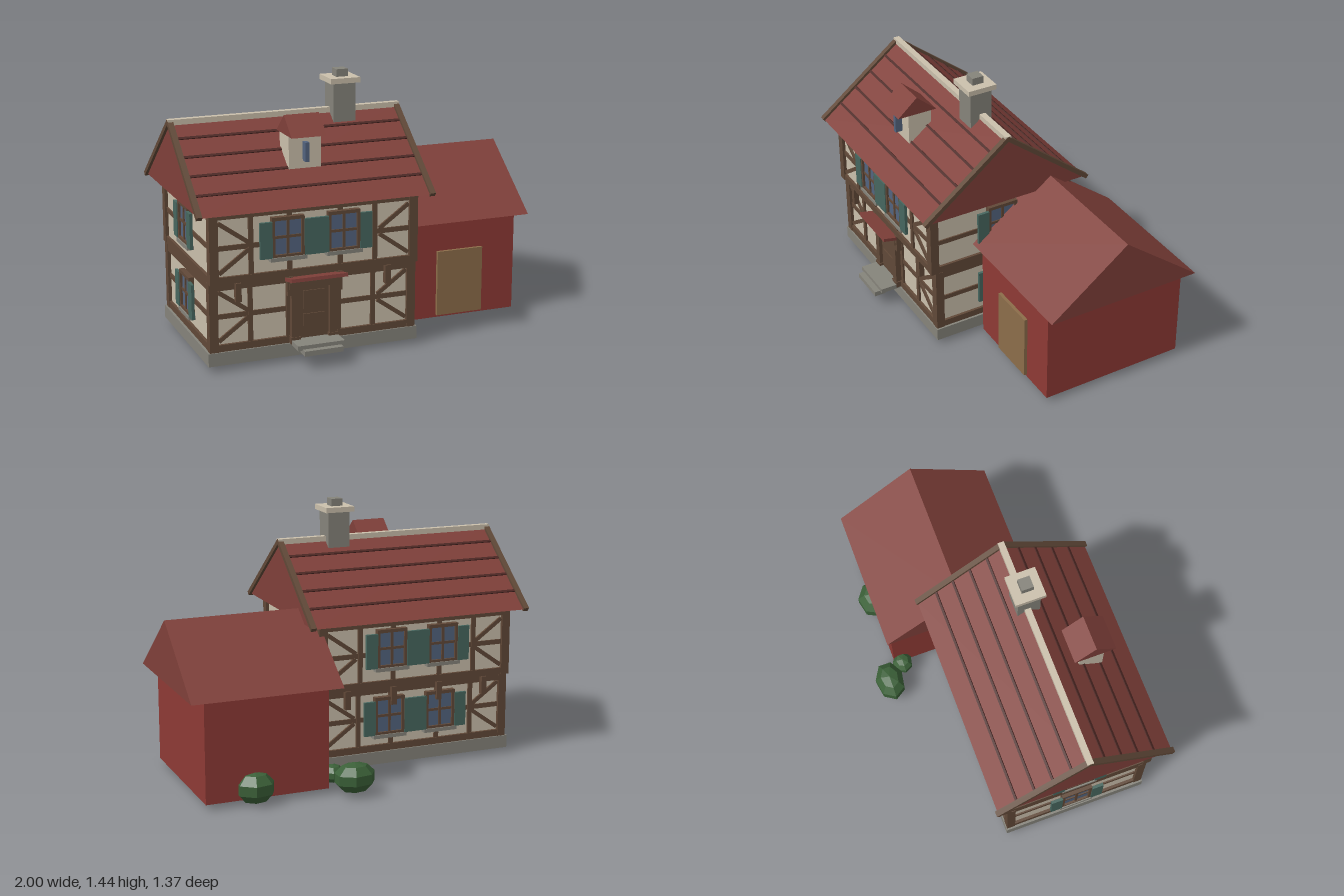
import * as THREE from 'three';

const mat = (name, color) => {
  const m = new THREE.MeshStandardMaterial({ color });
  m.name = name;
  return m;
};

export function createModel() {
  const cream = mat('plaster', 0xcbc0ac), timber = mat('timber', 0x614938), stone = mat('stone', 0x86847b);
  const green = mat('shutter green', 0x47675f), glass = mat('window glass', 0x53647f);
  const tile = mat('roof tile', 0x80403a), gap = mat('tile shadow gap', 0x4c2723);
  const red = mat('barn red', 0x8e3a35), tan = mat('garage door tan', 0x8c6d4a), leaf = mat('leaf', 0x3b6038);

  const model = new THREE.Group();
  model.name = 'house';
  const HX = -0.355, HZ = 0.13; // centre of the main house

  const add = (parent, name, geo, m, x = 0, y = 0, z = 0) => {
    const mesh = new THREE.Mesh(geo, m);
    mesh.name = name;
    mesh.position.set(x, y, z);
    parent.add(mesh);
    return mesh;
  };
  const group = (name) => {
    const g = new THREE.Group();
    g.name = name;
    model.add(g);
    return g;
  };
  // box given by its limits on each axis
  const box = (parent, name, m, x0, x1, y0, y1, z0, z1) => add(parent, name,
    new THREE.BoxGeometry(x1 - x0, y1 - y0, z1 - z0), m, (x0 + x1) / 2, (y0 + y1) / 2, (z0 + z1) / 2);
  // gabled prism with its ridge along x
  const gable = (parent, name, m, x0, x1, y0, y1, z, half) => {
    const s = new THREE.Shape([[-half, y0], [half, y0], [0, y1]].map(p => new THREE.Vector2(...p)));
    const geo = new THREE.ExtrudeGeometry(s, { depth: x1 - x0, bevelEnabled: false });
    geo.rotateY(Math.PI / 2);
    return add(parent, name, geo, m, x0, 0, z);
  };
  // shuttered window, facing +z before turning
  const windowUnit = (x, y, z, turn) => {
    const g = group('window');
    g.position.set(x, y, z);
    g.rotation.y = turn;
    box(g, 'glass', glass, -0.08, 0.08, -0.1, 0.1, -0.02, 0.003);
    for (const s of [-1, 1]) {
      add(g, 'windowJamb', new THREE.BoxGeometry(0.016, 0.21, 0.03), timber, s * 0.079, 0, 0);
      add(g, 'windowRail', new THREE.BoxGeometry(0.174, 0.018, 0.03), timber, 0, s * 0.098, 0);
      add(g, 'shutter', new THREE.BoxGeometry(0.066, 0.19, 0.016), green, s * 0.119, -0.008, 0.012);
    }
    box(g, 'mullion', timber, -0.007, 0.007, -0.1, 0.1, -0.01, 0.01);
    box(g, 'crossbar', timber, -0.08, 0.08, -0.005, 0.009, -0.01, 0.009);
    box(g, 'windowSill', stone, -0.098, 0.098, -0.122, -0.102, -0.02, 0.022);
  };

  // foundation
  const base = group('foundation');
  box(base, 'plinth', stone, -0.93, 0.22, 0.035, 0.105, -0.28, 0.54);

  // the two half-timbered storeys
  const storeys = [
    { name: 'lowerStorey', y0: 0.105, y1: 0.47, d: 0.405 },
    { name: 'upperStorey', y0: 0.47, y1: 0.845, d: 0.43 },
  ];
  for (const { name, y0, y1, d } of storeys) {
    const g = group(name), hw = 0.565, rail = y0 + 0.185;
    box(g, 'plasterWalls', cream, HX - hw + 0.018, HX + hw - 0.018, y0, y1, HZ - d + 0.018, HZ + d - 0.018);
    for (const [a, b] of [[y0, y0 + 0.037], [rail - 0.013, rail + 0.013], [y1 - 0.04, y1]]) {
      const e = a === rail - 0.013 ? 0.01 : 0.003;
      for (const s of [-1, 1]) {
        add(g, 'longBeam', new THREE.BoxGeometry(2 * hw - 0.02, b - a, 0.03), timber, HX, (a + b) / 2, HZ + s * (d - e - 0.015));
        add(g, 'sideBeam', new THREE.BoxGeometry(0.03, b - a, 2 * d - 0.02), timber, HX + s * (hw - e - 0.015), (a + b) / 2, HZ);
      }
    }
    for (const s of [-1, 1]) {
      for (const t of [-1, 1]) {
        add(g, 'cornerPost', new THREE.BoxGeometry(0.047, y1 - y0, 0.047), timber,
          HX + t * (hw - 0.0235), (y0 + y1) / 2, HZ + s * (d - 0.0235));
        // diagonal braces in the end bays, meeting at the stud
        for (const v of [-1, 1]) {
          const brace = add(g, 'brace', new THREE.BoxGeometry(0.2, 0.022, 0.02), timber,
            HX + t * 0.433, rail + v * 0.073, HZ + s * (d - 0.017));
          brace.rotation.z = t * v * 0.62;
        }
      }
      for (const x of [-0.7, -0.495, -0.22, -0.028])
        add(g, 'stud', new THREE.BoxGeometry(0.025, y1 - y0, 0.025), timber, x, (y0 + y1) / 2, HZ + s * (d - 0.019));
    }
  }
  // brackets under the overhanging storey
  for (const s of [-1, 1]) for (const x of [-0.77, -0.495, -0.225, 0.045])
    add(model, 'jettyBracket', new THREE.BoxGeometry(0.03, 0.1, 0.03), timber, x, 0.417, HZ + s * 0.413);

  // windows
  for (const x of [-0.508, -0.205]) {
    windowUnit(x, 0.685, HZ + 0.428, 0);
    windowUnit(x, 0.685, HZ - 0.428, Math.PI);
    windowUnit(x, 0.305, HZ - 0.403, Math.PI);
  }
  for (const y of [0.685, 0.305]) for (const s of [-1, 1])
    windowUnit(HX + s * 0.563, y, HZ, s * Math.PI / 2);

  // front door, canopy and steps
  const door = group('frontDoor');
  box(door, 'doorLeaf', timber, -0.445, -0.28, 0.125, 0.4, 0.5, 0.538);
  for (const y of [0.2, 0.325]) box(door, 'doorPanel', timber, -0.42, -0.305, y - 0.045, y + 0.055, 0.53, 0.544);
  for (const x of [-0.468, -0.26]) {
    box(door, 'doorPost', timber, x - 0.02, x + 0.02, 0.125, 0.41, 0.5, 0.556);
    box(door, 'postFoot', timber, x - 0.026, x + 0.026, 0.105, 0.14, 0.5, 0.56);
  }
  box(door, 'lintel', timber, -0.5, -0.228, 0.4, 0.435, 0.5, 0.562);
  const canopy = add(door, 'canopy', new THREE.BoxGeometry(0.305, 0.018, 0.11), tile, -0.3625, 0.459, 0.58);
  canopy.rotation.x = -0.2;
  box(door, 'upperStep', stone, -0.49, -0.235, 0.1, 0.125, 0.5, 0.652);
  box(door, 'lowerStep', stone, -0.465, -0.255, 0.078, 0.105, 0.62, 0.685);

  // main roof with tile courses, verge boards and ridge
  const roof = group('mainRoof');
  gable(roof, 'roofBody', tile, -0.985, 0.265, 0.84, 1.22, HZ, 0.485);
  const pitch = Math.atan2(0.38, 0.485), slope = Math.hypot(0.38, 0.485);
  for (const s of [-1, 1]) {
    for (const x of [-0.985, 0.265]) {
      const verge = add(roof, 'vergeBoard', new THREE.BoxGeometry(0.03, 0.024, slope + 0.012), timber, x, 1.033, HZ + s * 0.2425);
      verge.rotation.x = s * pitch;
    }
    for (let i = 1; i < 5; i++) {
      const f = i / 5 - 0.02;
      const course = add(roof, 'tileCourse', new THREE.BoxGeometry(1.22, 0.012, 0.014), gap, -0.36, 1.22 - f * 0.38, HZ + s * f * 0.485);
      course.rotation.x = s * pitch;
    }
  }
  box(roof, 'ridgeCap', cream, -0.998, 0.278, 1.208, 1.237, HZ - 0.017, HZ + 0.017);

  // dormer
  const dormer = group('dormer');
  box(dormer, 'dormerBody', cream, -0.45, -0.275, 0.995, 1.17, 0.29, 0.425);
  box(dormer, 'dormerWindow', glass, -0.375, -0.353, 1.035, 1.135, 0.42, 0.465);
  gable(dormer, 'dormerRoof', tile, -0.457, -0.267, 1.168, 1.267, 0.375, 0.114);

  // chimney
  const chimney = group('chimney');
  box(chimney, 'stack', stone, -0.118, 0.005, 1.05, 1.375, 0.075, 0.2);
  box(chimney, 'chimneyCap', cream, -0.14, 0.025, 1.372, 1.4, 0.055, 0.22);
  box(chimney, 'chimneyPot', stone, -0.09, -0.025, 1.4, 1.44, 0.105, 0.17);

  // garage
  const garage = group('garage');
  box(garage, 'garageWalls', red, 0.255, 0.925, 0.035, 0.58, -0.54, 0.275);
  box(garage, 'garageDoor', tan, 0.455, 0.725, 0.05, 0.415, 0.27, 0.293);
  gable(garage, 'garageRoof', tile, 0.183, 1, 0.575, 0.91, -0.137, 0.437);

  // bushes behind the garage
  const bushMat = leaf;
  bushMat.flatShading = true;
  const bushGeo = new THREE.SphereGeometry(1, 7, 5);
  for (const [x, y, z, rx, ry, rz] of [
    [0.137, 0.1, -0.605, 0.117, 0.083, 0.086],
    [0.655, 0.092, -0.52, 0.112, 0.088, 0.105],
    [0.22, 0.1, -0.5, 0.065, 0.05, 0.06],
  ]) add(model, 'bush', bushGeo, bushMat, x, y, z).scale.set(rx, ry, rz);

  return model;
}
